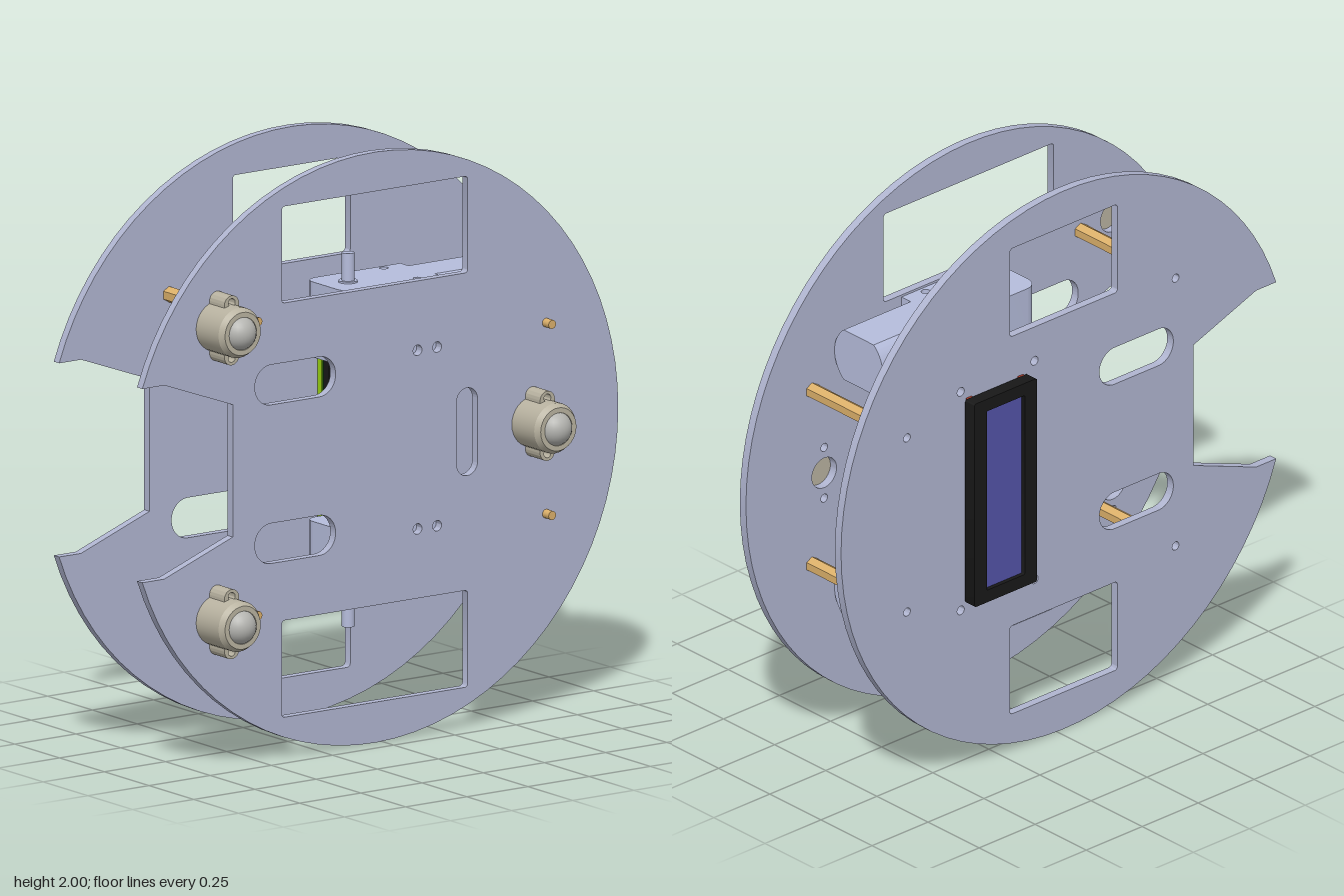
import * as THREE from 'three';
import { toCreasedNormals } from 'three/addons/utils/BufferGeometryUtils.js';

const material = (color) => new THREE.MeshStandardMaterial({ color });
const PLATE = material(0xb0b5d0), MOTOR = material(0xb6bddc), BRASS = material(0xdcb06a);
const CASTER = material(0xb9b3a1), STEEL = material(0xb4b4b0), BLACK = material(0x181818);
const LIME = material(0x9bd410), GREEN = material(0x10691a), BLUE = material(0x5353a8);
const RED = material(0xa83a2a), GOLD = material(0xa08840), GREY = material(0xcccccc);

function add(parent, name, geometry, mat, x = 0, y = 0, z = 0) {
  const mesh = new THREE.Mesh(geometry, mat);
  mesh.name = name;
  mesh.position.set(x, y, z);
  parent.add(mesh);
  return mesh;
}

// Cylinder lying along z, from z = 0 to z = length
const rod = (r, length, sides = 20) =>
  new THREE.CylinderGeometry(r, r, length, sides).rotateX(Math.PI / 2).translate(0, 0, length / 2);

const extrude = (shape, depth) => toCreasedNormals(
  new THREE.ExtrudeGeometry(shape, { depth, bevelEnabled: false, curveSegments: 18 }), 0.5);

function roundedRect(x0, x1, y0, y1, r, target = new THREE.Path()) {
  target.moveTo(x0 + r, y0);
  target.lineTo(x1 - r, y0);
  target.absarc(x1 - r, y0 + r, r, -Math.PI / 2, 0);
  target.lineTo(x1, y1 - r);
  target.absarc(x1 - r, y1 - r, r, 0, Math.PI / 2);
  target.lineTo(x0 + r, y1);
  target.absarc(x0 + r, y1 - r, r, Math.PI / 2, Math.PI);
  target.lineTo(x0, y0 + r);
  target.absarc(x0 + r, y0 + r, r, Math.PI, Math.PI * 1.5);
  return target;
}

const circle = (x, y, r) => new THREE.Path().absarc(x, y, r, 0, Math.PI * 2);

const CASTERS = [[-0.675, 1.5], [-0.675, 0.505], [0.615, 1.0]];
const STANDOFFS = [[-0.53, 1.5], [-0.53, 0.505], [0.67, 1.327], [0.67, 0.68]];

// Round plate outline with the flared notch on one side
function plateShape(windowX0, windowX1) {
  const a = Math.asin(0.328), cx = -0.035;
  const s = new THREE.Shape();
  for (let i = 0; i <= 72; i++) {
    const t = Math.PI - a - (i / 72) * (2 * Math.PI - 2 * a);
    const x = cx + Math.cos(t), y = 1 + Math.sin(t);
    if (i) s.lineTo(x, y); else s.moveTo(x, y);
  }
  s.lineTo(-0.89, 0.672);
  s.lineTo(-0.61, 0.776);
  s.lineTo(-0.61, 1.224);
  s.lineTo(-0.89, 1.328);
  s.closePath();
  // Wheel windows and cable slots
  for (const [y0, y1] of [[1.54, 1.867], [0.137, 0.465]])
    s.holes.push(roundedRect(windowX0, windowX1, y0, y1, 0.012));
  for (const y of [1.27, 0.733])
    s.holes.push(roundedRect(-0.52, -0.19, y - 0.068, y + 0.068, 0.067));
  return s;
}

// Ball caster pointing along +z
function buildCaster() {
  const g = new THREE.Group();
  const profile = [[0, 0], [0.085, 0], [0.085, 0.125], [0.073, 0.145], [0.056, 0.145], [0.05, 0.12]]
    .map(([r, h]) => new THREE.Vector2(r, h));
  const housing = new THREE.LatheGeometry(profile, 32).rotateX(Math.PI / 2);
  add(g, 'casterHousing', toCreasedNormals(housing, 0.4), CASTER);
  add(g, 'casterBall', new THREE.SphereGeometry(0.06, 28, 18), STEEL, 0, 0, 0.12);
  const ear = new THREE.Shape().absarc(0, 0.088, 0.03, 0, Math.PI);
  ear.lineTo(-0.03, 0.06);
  ear.lineTo(0.03, 0.06);
  ear.holes.push(circle(0, 0.094, 0.014));
  for (const turn of [0, Math.PI])
    add(g, 'casterEar', extrude(ear, 0.083), CASTER).rotation.z = turn;
  return g;
}

// Gear motor: shaft points to +y, outer face at y = 0, middle at z = 0
function buildMotor() {
  const g = new THREE.Group();
  const lay = (geo) => geo.rotateX(Math.PI / 2);
  // Gearbox, rounded at the tab end
  const box = new THREE.Shape();
  box.moveTo(0.27, -0.118);
  box.lineTo(0.27, 0.118);
  box.lineTo(-0.075, 0.118);
  box.absarc(-0.075, 0.068, 0.05, Math.PI / 2, Math.PI);
  box.lineTo(-0.125, -0.068);
  box.absarc(-0.075, -0.068, 0.05, Math.PI, Math.PI * 1.5);
  for (const z of [-0.094, 0.094]) box.holes.push(circle(0.185, z, 0.015));
  add(g, 'gearbox', lay(extrude(box, 0.255)), MOTOR);
  // Motor can with two flats
  const can = new THREE.Shape();
  const a = Math.asin(0.0925 / 0.118);
  can.absarc(0, 0, 0.118, -a, a);
  can.absarc(0, 0, 0.118, Math.PI - a, Math.PI + a);
  can.closePath();
  add(g, 'motorCan', extrude(can, 0.3).rotateY(Math.PI / 2), MOTOR, 0.27, -0.0925, 0);
  // Mounting tab
  const tab = roundedRect(-0.175, -0.12, -0.026, 0.026, 0.012, new THREE.Shape());
  tab.holes.push(circle(-0.153, 0, 0.013));
  add(g, 'motorTab', lay(extrude(tab, 0.05)), MOTOR, 0, -0.07, 0);
  add(g, 'shaftCollar', new THREE.CylinderGeometry(0.032, 0.032, 0.008, 24), MOTOR, -0.03, 0.002, 0);
  add(g, 'motorShaft', new THREE.CylinderGeometry(0.021, 0.021, 0.12, 20), MOTOR, -0.03, 0.04, 0);
  return g;
}

// Character display on the back plate, with its circuit board inside
function buildDisplay() {
  const g = new THREE.Group();
  g.name = 'display';
  add(g, 'circuitBoard', new THREE.BoxGeometry(0.38, 0.865, 0.022), LIME, 0.265, 1.008, -0.268);
  add(g, 'boardFace', new THREE.BoxGeometry(0.37, 0.855, 0.003), GREEN, 0.265, 1.008, -0.256);
  const bezel = roundedRect(0.14, 0.42, 0.63, 1.385, 0.008, new THREE.Shape());
  bezel.holes.push(roundedRect(0.195, 0.365, 0.675, 1.34, 0.004));
  add(g, 'bezel', extrude(bezel, 0.045), BLACK, 0, 0, -0.366);
  add(g, 'bezelBase', new THREE.BoxGeometry(0.255, 0.73, 0.015), GREY, 0.28, 1.008, -0.316);
  add(g, 'screen', new THREE.BoxGeometry(0.18, 0.67, 0.03), BLUE, 0.28, 1.008, -0.336);
  for (const x of [0.165, 0.395]) for (const y of [0.645, 1.37])
    add(g, 'bezelClip', new THREE.BoxGeometry(0.025, 0.025, 0.014), RED, x, y, -0.315);
  // Pin header
  add(g, 'pinHeader', new THREE.BoxGeometry(0.03, 0.43, 0.03), BLACK, 0.097, 1.145, -0.24);
  for (let i = 0; i < 16; i++)
    add(g, 'headerPin', new THREE.BoxGeometry(0.007, 0.007, 0.07), GOLD, 0.097, 0.943 + i * 0.027, -0.198);
  // Chip domes and small parts
  for (const y of [0.86, 1.15])
    add(g, 'chipDome', new THREE.SphereGeometry(0.08, 24, 12).scale(1, 1, 0.25), BLACK, 0.29, y, -0.256);
  add(g, 'boardPart', new THREE.BoxGeometry(0.025, 0.05, 0.025), BLACK, 0.43, 1.2, -0.245);
  return g;
}

export function createModel() {
  const model = new THREE.Group();
  model.name = 'robotChassis';

  // Front plate
  const front = plateShape(-0.41, 0.35);
  front.holes.push(roundedRect(0.305, 0.39, 0.853, 1.15, 0.042));
  for (const x of [0.145, 0.225]) for (const y of [0.7, 1.305]) front.holes.push(circle(x, y, 0.018));
  for (const [x, y] of CASTERS) {
    front.holes.push(circle(x, y, 0.055));
    for (const d of [-0.094, 0.094]) front.holes.push(circle(x, y + d, 0.015));
  }
  add(model, 'frontPlate', extrude(front, 0.03), PLATE, 0, 0, 0.155);

  // Back plate
  const back = plateShape(-0.27, 0.21);
  for (const [x, y] of STANDOFFS) back.holes.push(circle(x, y, 0.015));
  for (const x of [0.1, 0.43]) for (const y of [0.602, 1.414]) back.holes.push(circle(x, y, 0.016));
  add(model, 'backPlate', extrude(back, 0.03), PLATE, 0, 0, -0.31);

  // Hexagonal standoffs with threaded studs
  for (const [x, y] of STANDOFFS) {
    add(model, 'standoff', toCreasedNormals(rod(0.027, 0.435, 6), 0.3), BRASS, x, y, -0.28);
    add(model, 'standoffStud', rod(0.015, 0.07), BRASS, x, y, 0.15);
  }

  // Ball casters
  for (const [x, y] of CASTERS) {
    const caster = buildCaster();
    caster.name = 'ballCaster';
    caster.position.set(x, y, 0.185);
    model.add(caster);
  }

  // Gear motors, the lower one turned over
  for (const side of [1, -1]) {
    const motor = buildMotor();
    motor.name = side > 0 ? 'upperMotor' : 'lowerMotor';
    motor.position.set(0, 1 + side * 0.533, 0.036);
    if (side < 0) motor.rotation.x = Math.PI;
    model.add(motor);
  }

  model.add(buildDisplay());
  return model;
}
